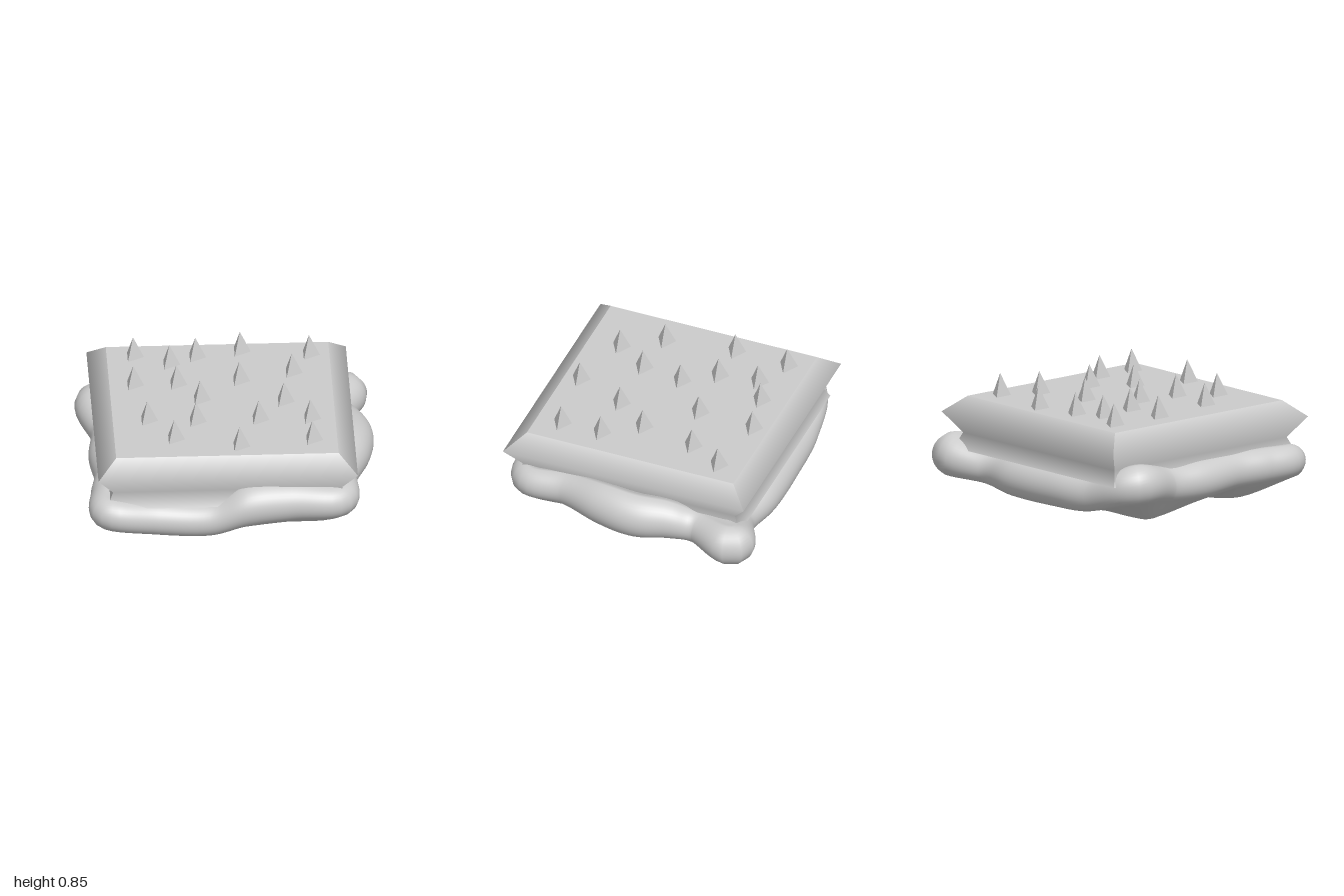
import * as THREE from 'three';

const material = new THREE.MeshStandardMaterial({ color: 0xcccccc });

function add(parent, name, geometry, mat = material) {
  const mesh = new THREE.Mesh(geometry, mat);
  mesh.name = name;
  parent.add(mesh);
  return mesh;
}

// Surface through rows of points; each row is one cross-section from top to bottom
function loft(rows, closed) {
  const n = rows[0].length, pos = [], index = [];
  rows.forEach(row => row.forEach(p => pos.push(...p)));
  const count = closed ? rows.length : rows.length - 1;
  for (let i = 0; i < count; i++) {
    const a = i * n, b = ((i + 1) % rows.length) * n;
    for (let j = 0; j < n - 1; j++) {
      index.push(a + j, a + j + 1, b + j, b + j, a + j + 1, b + j + 1);
    }
  }
  const g = new THREE.BufferGeometry();
  g.setAttribute('position', new THREE.Float32BufferAttribute(pos, 3));
  g.setIndex(index);
  g.computeVertexNormals();
  return g;
}

// Centre line of the lumpy rim: x, z, height, radius
const rim = [
  [-0.825, 0.79, 0.285, 0.115], [-0.5, 0.76, 0.23, 0.12], [-0.15, 0.77, 0.22, 0.12],
  [0.1, 0.77, 0.32, 0.15], [0.4, 0.75, 0.335, 0.14], [0.73, 0.75, 0.33, 0.115],
  [0.74, 0.45, 0.34, 0.125], [0.81, 0.15, 0.35, 0.16], [0.83, -0.08, 0.34, 0.165],
  [0.78, -0.3, 0.33, 0.145], [0.75, -0.5, 0.29, 0.12], [0.83, -0.77, 0.28, 0.15],
  [0.52, -0.7, 0.22, 0.11], [0.2, -0.72, 0.22, 0.14], [-0.2, -0.72, 0.22, 0.14],
  [-0.55, -0.71, 0.23, 0.13], [-0.85, -0.62, 0.33, 0.145], [-0.78, -0.3, 0.275, 0.13],
  [-0.8, 0, 0.27, 0.135], [-0.78, 0.3, 0.28, 0.13], [-0.82, 0.55, 0.285, 0.125],
];

// Lumps hanging from the underside: x, z, depth, spread in x, spread in z
const lumps = [
  [-0.34, 0.5, 0.11, 0.33, 0.19],
  [-0.64, -0.27, 0.105, 0.22, 0.2],
  [0.37, -0.14, 0.1, 0.17, 0.22],
];

function undersideHeight(x, z) {
  let y = 0.115;
  for (const [cx, cz, d, sx, sz] of lumps) {
    y -= d * Math.exp(-(((x - cx) / sx) ** 2 + ((z - cz) / sz) ** 2) / 2);
  }
  return y;
}

function lumpyBase() {
  const line = new THREE.CatmullRomCurve3(
    rim.map(([x, z, y]) => new THREE.Vector3(x, y, z)), true, 'catmullrom', 0.5);
  const radius = new THREE.CatmullRomCurve3(
    rim.map(p => new THREE.Vector3(p[3], 0, 0)), true, 'catmullrom', 0.5);
  const rows = [], steps = 168, topY = 0.38;
  for (let i = 0; i < steps; i++) {
    const c = line.getPoint(i / steps), r = radius.getPoint(i / steps).x;
    const t = line.getTangent(i / steps);
    const len = Math.hypot(t.x, t.z), nx = -t.z / len, nz = t.x / len;
    const row = [[0, topY, 0], [c.x * 0.8, topY, c.z * 0.8]];
    // Rounded outer edge, ending where the underside takes over
    for (let k = 0; k <= 16; k++) {
      const a = Math.PI * (0.5 - 0.8 * k / 16);
      const out = Math.cos(a) * r;
      row.push([c.x + nx * out, c.y + Math.sin(a) * r, c.z + nz * out]);
    }
    // Underside, easing from the edge into the lumps
    const [ex, ey, ez] = row[row.length - 1];
    for (let k = 1; k <= 24; k++) {
      const s = k / 24, x = ex * (1 - s), z = ez * (1 - s);
      const w = 1 - Math.max(0, 1 - s / 0.32) ** 2;
      row.push([x, THREE.MathUtils.lerp(ey, undersideHeight(x, z), w), z]);
    }
    rows.push(row);
  }
  return loft(rows, true);
}

// One moulded side; both ends get the same normals so it shades evenly
function edgeStrip(profile) {
  const g = loft([-1, 1].map(s => profile.map(([h, y]) => [s * h, y, h])), false);
  const normal = g.attributes.normal, n = profile.length;
  for (let j = 0; j < n; j++) {
    const v = new THREE.Vector3(0, normal.getY(j) + normal.getY(j + n), normal.getZ(j) + normal.getZ(j + n));
    v.normalize();
    for (const i of [j, j + n]) normal.setXYZ(i, v.x, v.y, v.z);
  }
  return g;
}

function platform() {
  const group = new THREE.Group();
  group.name = 'platform';
  group.position.set(-0.03, 0, 0.012);
  // Half width and height of the moulded edge, top to bottom
  const side = edgeStrip([[0.753, 0.7], [0.878, 0.59], [0.775, 0.445], [0.822, 0.34]]);
  for (let i = 0; i < 4; i++) {
    add(group, 'platformEdge', side).rotation.y = i * Math.PI / 2;
  }
  const top = add(group, 'platformTop', new THREE.PlaneGeometry(1.506, 1.506));
  top.rotation.x = -Math.PI / 2;
  top.position.y = 0.7;
  const bottom = add(group, 'platformBottom', new THREE.PlaneGeometry(1.644, 1.644));
  bottom.rotation.x = Math.PI / 2;
  bottom.position.y = 0.34;
  return group;
}

// Spike positions: x, z
const spikeSpots = [
  [-0.605, -0.595], [-0.365, -0.48], [-0.185, -0.57], [0.12, -0.635], [0.585, -0.57],
  [0.457, -0.33], [-0.622, -0.21], [-0.33, -0.205], [0.097, -0.235],
  [-0.18, 0.01], [0.385, 0.058], [-0.55, 0.272], [-0.222, 0.303], [0.203, 0.297],
  [0.553, 0.297], [-0.38, 0.533], [0.057, 0.65], [0.553, 0.585],
];

export function createModel() {
  const model = new THREE.Group();
  model.name = 'spikedPlatform';
  add(model, 'lumpyBase', lumpyBase());
  model.add(platform());

  // Three-sided spikes, one edge pointing to +x
  const spikes = new THREE.Group();
  spikes.name = 'spikes';
  const spike = new THREE.ConeGeometry(0.077, 0.16, 3).rotateY(Math.PI / 2);
  const faceted = material.clone();
  faceted.flatShading = true;
  for (const [x, z] of spikeSpots) add(spikes, 'spike', spike, faceted).position.set(x, 0.775, z);
  model.add(spikes);
  return model;
}
